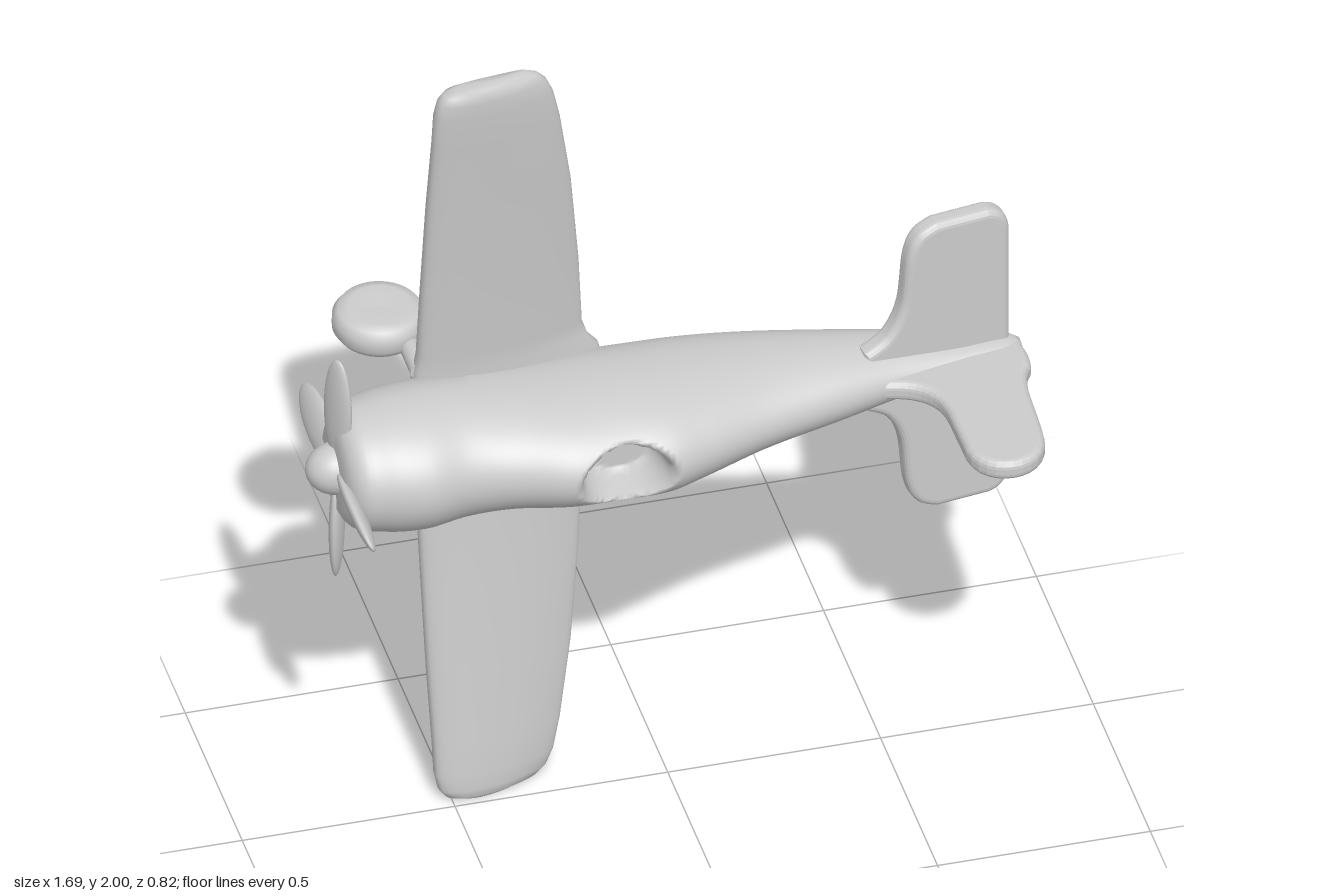
import * as THREE from 'three';

const MID = 1.01; // height of the aircraft's long axis
const grey = new THREE.MeshStandardMaterial({ color: 0xcccccc, side: THREE.DoubleSide });

function add(parent, name, geometry) {
  const mesh = new THREE.Mesh(geometry, grey);
  mesh.name = name;
  parent.add(mesh);
  return mesh;
}

// Skin a list of equal-length rings and close both ends
function loft(rings) {
  const n = rings[0].length, pos = [], idx = [];
  rings.forEach(r => r.forEach(p => pos.push(p.x, p.y, p.z)));
  for (let i = 0; i < rings.length - 1; i++) {
    for (let j = 0; j < n; j++) {
      const a = i * n + j, b = i * n + (j + 1) % n;
      idx.push(a, b, a + n, b, b + n, a + n);
    }
  }
  [0, rings.length - 1].forEach((k, end) => {
    const c = rings[k].reduce((s, p) => s.add(p), new THREE.Vector3()).divideScalar(n);
    const ci = pos.length / 3;
    pos.push(c.x, c.y, c.z);
    for (let j = 0; j < n; j++) {
      const a = k * n + j, b = k * n + (j + 1) % n;
      idx.push(ci, ...(end ? [a, b] : [b, a]));
    }
  });
  // Turn the faces outward if the enclosed volume is negative
  const v = i => new THREE.Vector3().fromArray(pos, i * 3);
  let volume = 0;
  for (let i = 0; i < idx.length; i += 3) volume += v(idx[i]).dot(v(idx[i + 1]).cross(v(idx[i + 2])));
  if (volume < 0) idx.reverse();
  const g = new THREE.BufferGeometry();
  g.setAttribute('position', new THREE.Float32BufferAttribute(pos, 3));
  g.setIndex(idx);
  g.computeVertexNormals();
  return g;
}

const power = (v, e) => Math.sign(v) * Math.abs(v) ** e;

function fuselage() {
  // x, half width, top z, bottom z
  const stations = [
    [-0.785, 0.10, 0.10, -0.10], [-0.77, 0.128, 0.135, -0.13], [-0.70, 0.153, 0.17, -0.17],
    [-0.60, 0.16, 0.185, -0.188], [-0.50, 0.153, 0.168, -0.192], [-0.40, 0.142, 0.18, -0.198],
    [-0.27, 0.138, 0.216, -0.204], [-0.15, 0.138, 0.22, -0.208], [-0.04, 0.133, 0.222, -0.211],
    [0.05, 0.126, 0.19, -0.211], [0.20, 0.108, 0.132, -0.202], [0.40, 0.088, 0.075, -0.168],
    [0.55, 0.066, 0.035, -0.145], [0.70, 0.042, 0.01, -0.13], [0.80, 0.032, 0.0, -0.105],
    [0.84, 0.022, -0.01, -0.07]];
  const curve = new THREE.CubicInterpolant(
    stations.map(s => s[0]), stations.flatMap(s => s.slice(1)), 3);
  const rings = [], steps = 130, sides = 96;
  for (let i = 0; i <= steps; i++) {
    const x = -0.785 + 1.625 * i / steps;
    const [w, top, bottom] = curve.evaluate(x);
    const mid = bottom + (top - bottom) * 0.45;
    const ring = [];
    for (let j = 0; j < sides; j++) {
      const a = j / sides * Math.PI * 2, s = Math.sin(a);
      const e = s < 0 && x > -0.45 ? 0.82 : 1; // squarer belly behind the cowling
      const y = power(Math.cos(a), e) * w;
      let z = mid + power(s, e) * (s > 0 ? top - mid : mid - bottom);
      // Open cockpit pressed into the top
      if (s > 0) {
        const d = Math.hypot((x + 0.147) / 0.108, y / 0.074);
        z = THREE.MathUtils.lerp(z, Math.min(z, 0.09), 1 - THREE.MathUtils.smoothstep(d, 0.75, 1.02));
      }
      ring.push(new THREE.Vector3(x, MID + y, z));
    }
    rings.push(ring);
  }
  return loft(rings);
}

function wings() {
  // distance from centre, leading x, trailing x, middle z, thickness
  const half = [
    [0.05, -0.57, -0.10, -0.125, 0.10], [0.14, -0.57, -0.125, -0.122, 0.095],
    [0.17, -0.565, -0.15, -0.12, 0.088], [0.21, -0.56, -0.163, -0.116, 0.085],
    [0.40, -0.555, -0.175, -0.10, 0.083], [0.65, -0.548, -0.20, -0.075, 0.082],
    [0.85, -0.54, -0.232, -0.052, 0.08], [0.93, -0.538, -0.25, -0.044, 0.08],
    [0.97, -0.53, -0.268, -0.041, 0.078], [0.99, -0.515, -0.288, -0.04, 0.07],
    [1.0, -0.485, -0.315, -0.04, 0.05]];
  const span = [...half.map(([d, ...r]) => [-d, ...r]).reverse(), ...half];
  return loft(span.map(([d, lead, trail, z, t]) => {
    const ring = [];
    for (let j = 0; j < 40; j++) {
      const a = j / 40 * Math.PI * 2;
      const u = 0.5 - 0.5 * power(Math.cos(a), 0.8); // 0 at the leading edge
      const h = power(Math.sin(a), 0.7) * t / 2 * (1 - 0.5 * u * u);
      ring.push(new THREE.Vector3(lead + (trail - lead) * u, 1 + d, z + h - 0.03 * u * u));
    }
    return ring;
  }));
}

// Rounded slab cut from an outline, centred on its thickness
function slab(shape, thickness, bevel) {
  return new THREE.ExtrudeGeometry(shape, {
    depth: thickness - 2 * bevel, bevelThickness: bevel, bevelSize: bevel, bevelOffset: -bevel,
    bevelSegments: 4, curveSegments: 12
  }).translate(0, 0, -(thickness - 2 * bevel) / 2);
}

function tailplane() {
  const edge = [[0.46, 0.08], [0.515, 0.115], [0.55, 0.19], [0.565, 0.32], [0.59, 0.375], [0.635, 0.4]];
  const s = new THREE.Shape();
  s.moveTo(edge[0][0], -edge[0][1]);
  s.lineTo(edge[0][0], edge[0][1]);
  s.splineThru(edge.slice(1).map(p => new THREE.Vector2(...p)));
  s.lineTo(0.765, 0.4);
  s.quadraticCurveTo(0.815, 0.39, 0.817, 0.335);
  s.lineTo(0.817, -0.335);
  s.quadraticCurveTo(0.815, -0.39, 0.765, -0.4);
  s.lineTo(0.635, -0.4);
  s.splineThru(edge.slice(0, -1).reverse().map(([x, y]) => new THREE.Vector2(x, -y)));
  return slab(s, 0.055, 0.018).translate(-0.68, 0, 0).rotateY(0.15).translate(0.68, MID, -0.055);
}

function fin() {
  const s = new THREE.Shape();
  s.moveTo(0.47, -0.05);
  s.lineTo(0.49, 0.045);
  s.bezierCurveTo(0.58, 0.06, 0.615, 0.1, 0.613, 0.2);
  s.lineTo(0.615, 0.32);
  s.bezierCurveTo(0.625, 0.44, 0.785, 0.44, 0.8, 0.32);
  s.bezierCurveTo(0.815, 0.2, 0.8, 0.1, 0.84, 0.05);
  s.quadraticCurveTo(0.855, 0, 0.83, -0.07);
  s.lineTo(0.47, -0.05);
  return slab(s, 0.05, 0.018).rotateX(Math.PI / 2).translate(0, MID, 0);
}

// Fat tyre with softly rounded shoulders, axle along y
function wheel() {
  const profile = [[0, -0.036], [0.07, -0.041], [0.095, -0.034], [0.108, -0.015],
    [0.108, 0.015], [0.095, 0.034], [0.07, 0.041], [0, 0.036]];
  return new THREE.LatheGeometry(profile.map(p => new THREE.Vector2(...p)), 40);
}

export function createModel() {
  const plane = new THREE.Group();
  plane.name = 'airplane';
  add(plane, 'fuselage', fuselage());
  add(plane, 'wings', wings());
  add(plane, 'tailplane', tailplane());
  add(plane, 'tailFin', fin());

  // Propeller: hub and four pitched blades
  const propeller = new THREE.Group();
  propeller.name = 'propeller';
  propeller.position.set(-0.775, MID, -0.005);
  plane.add(propeller);
  add(propeller, 'spinner', new THREE.SphereGeometry(0.062, 32, 20).scale(1.2, 1, 1));
  for (let i = 0; i < 4; i++) {
    const blade = new THREE.SphereGeometry(1, 24, 20).scale(0.017, 0.145, 0.045)
      .rotateY(0.45).translate(0, 0.165, 0).rotateX(i * Math.PI / 2 + 0.03);
    add(propeller, 'propellerBlade', blade);
  }

  // Landing gear
  for (const side of [-1, 1]) {
    const tyre = add(plane, 'wheel', wheel());
    tyre.position.set(-0.597, MID + side * 0.172, -0.302);
    tyre.rotation.x = side * 0.04;
    const leg = add(plane, 'wheelLeg', new THREE.CylinderGeometry(0.024, 0.024, 0.14, 16));
    leg.position.set(-0.55, MID + side * 0.15, -0.185);
    leg.rotation.x = Math.PI / 2;
  }
  const strut = add(plane, 'tailStrut', new THREE.CylinderGeometry(0.032, 0.032, 0.16, 20));
  strut.position.set(0.742, MID, -0.158);
  strut.rotation.x = Math.PI / 2;
  return plane;
}
